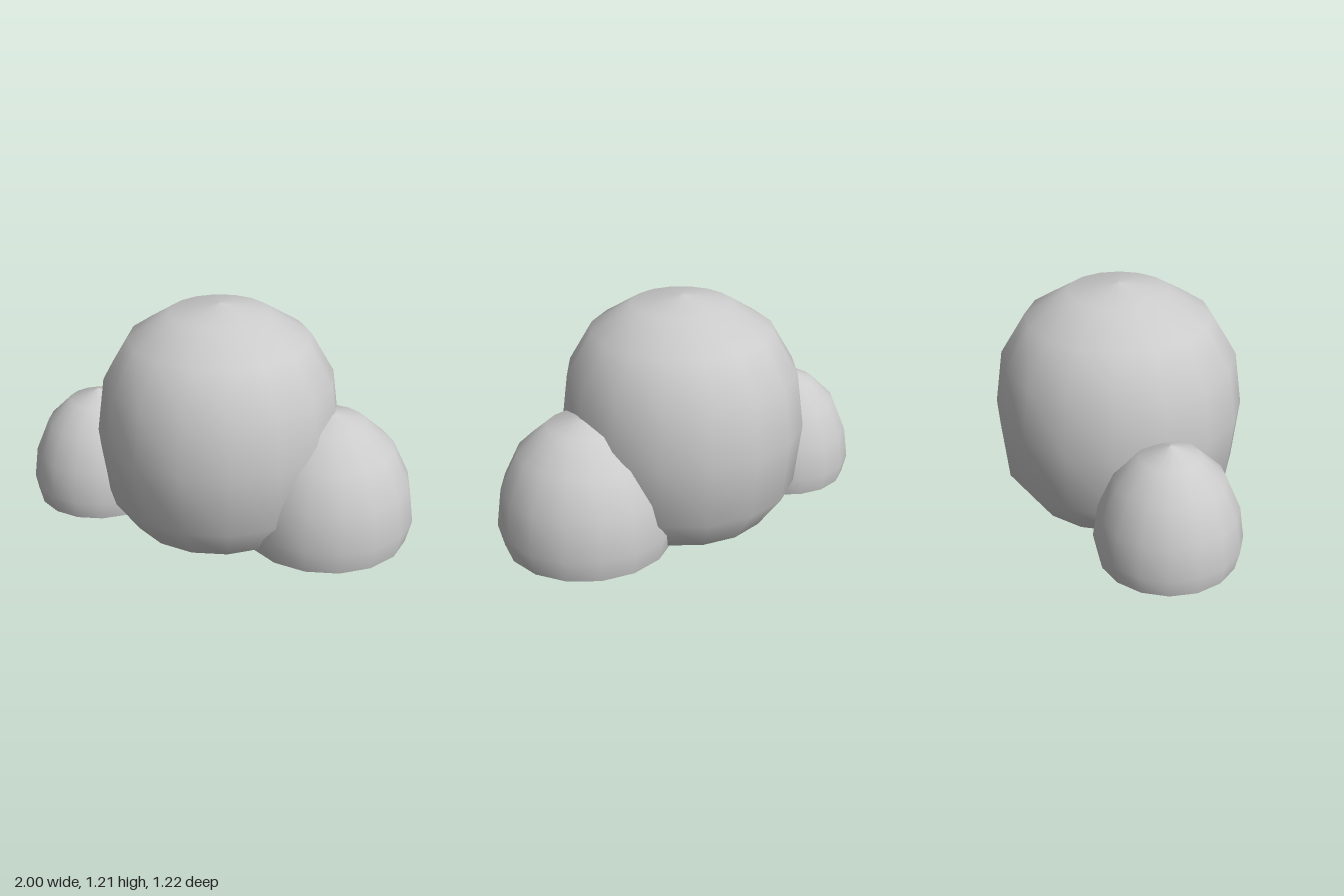
import * as THREE from 'three';

const SEGMENTS = 16;
const TURN = 0.14; // slight twist so no facet faces squarely forward

// One lobe: a smooth dome meeting a shallow underside at a crisp rim.
function makeLobe(name, position, dome, underside, scaleX = 1) {
  const lobe = new THREE.Group();
  lobe.name = name;
  const material = new THREE.MeshStandardMaterial({ color: 0xcccccc });
  for (const [part, profile] of [['Dome', dome], ['Underside', underside]]) {
    const points = profile.map(([r, y]) => new THREE.Vector2(r, y));
    const mesh = new THREE.Mesh(new THREE.LatheGeometry(points, SEGMENTS, TURN), material);
    mesh.name = name + part;
    lobe.add(mesh);
  }
  lobe.position.set(position[0], 0, position[1]);
  lobe.scale.x = scaleX;
  return lobe;
}

export function createModel() {
  const model = new THREE.Group();
  model.name = 'roundedClump';

  // Profiles are [radius, height], from the bottom up
  model.add(makeLobe('centreLobe', [0.01, 0],
    [[0.455, 0.085], [0.58, 0.26], [0.615, 0.57], [0.578, 0.84], [0.455, 1.045], [0.25, 1.17], [0, 1.21]],
    [[0, 0.035], [0.2, 0.042], [0.35, 0.058], [0.455, 0.085]], 0.98));

  model.add(makeLobe('leftLobe', [0.56, -0.07],
    [[0.415, 0.063], [0.442, 0.18], [0.415, 0.37], [0.33, 0.545], [0.18, 0.675], [0, 0.72]],
    [[0, 0.003], [0.18, 0.01], [0.325, 0.027], [0.415, 0.063]]));

  model.add(makeLobe('rightLobe', [-0.65, 0.08],
    [[0.33, 0.09], [0.352, 0.185], [0.33, 0.345], [0.26, 0.51], [0.145, 0.622], [0, 0.675]],
    [[0, 0.04], [0.14, 0.045], [0.26, 0.06], [0.33, 0.09]]));

  return model;
}
